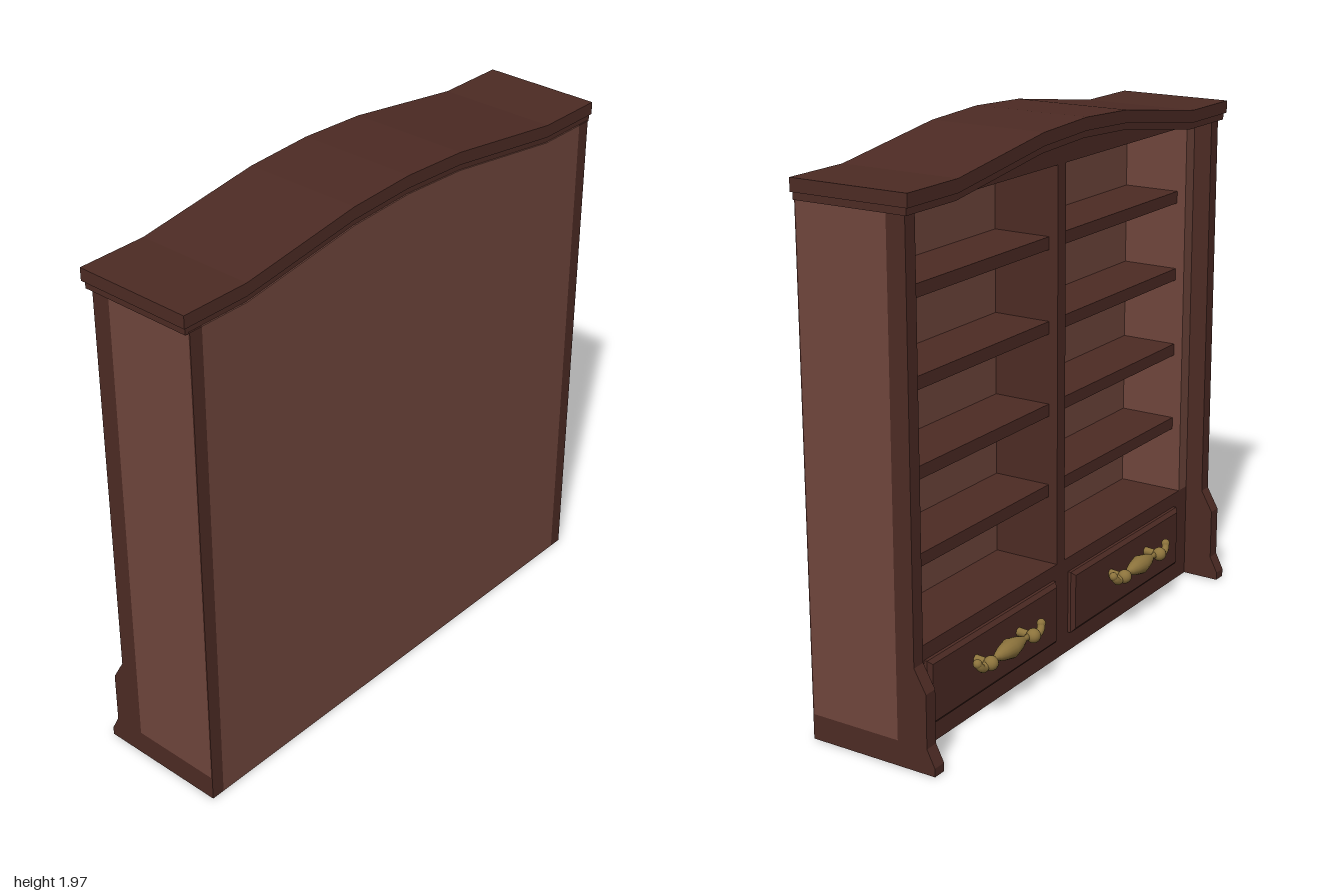
import * as THREE from 'three';

const panelWood = new THREE.MeshStandardMaterial({ color: 0x70463c });
const darkWood = new THREE.MeshStandardMaterial({ color: 0x4d2b24 });
const brass = new THREE.MeshStandardMaterial({ color: 0x8c733c });

// Upper edge of the arched top, as [z, height above the flat ends]
const ARCH = [[0.74, 0], [0.5, 0.034], [0.26, 0.068], [0, 0.08], [-0.26, 0.068], [-0.5, 0.034], [-0.74, 0]];

export function createModel() {
  const model = new THREE.Group();

  function add(name, geometry, material, parent = model) {
    const mesh = new THREE.Mesh(geometry, material);
    mesh.name = name;
    parent.add(mesh);
    return mesh;
  }

  // Box given by its limits on each axis
  function box(name, x0, x1, y0, y1, z0, z1, material) {
    const mesh = add(name, new THREE.BoxGeometry(x1 - x0, y1 - y0, z1 - z0), material);
    mesh.position.set((x0 + x1) / 2, (y0 + y1) / 2, (z0 + z1) / 2);
    return mesh;
  }

  // Board with an arched top; the lower edge is flat or follows the arch
  function archBoard(name, x0, x1, half, bottom, top, curvedBottom, material) {
    const upper = [[half, 0], ...ARCH, [-half, 0]];
    const points = upper.map(([z, h]) => new THREE.Vector2(z, top + h));
    const lower = curvedBottom ? upper.slice().reverse() : [[-half, 0], [half, 0]];
    for (const [z, h] of lower) points.push(new THREE.Vector2(z, bottom + h));
    const geometry = new THREE.ExtrudeGeometry(new THREE.Shape(points), { depth: x1 - x0, bevelEnabled: false });
    geometry.rotateY(-Math.PI / 2);
    geometry.translate(x1, 0, 0);
    return add(name, geometry, material);
  }

  // Back, top rail and stepped cornice
  archBoard('backPanel', 0.15, 0.24, 0.93, 0, 1.82, false, panelWood);
  archBoard('topRail', -0.105, -0.06, 0.93, 1.8, 1.82, false, darkWood);
  archBoard('corniceMoulding', -0.19, 0.235, 0.993, 1.815, 1.842, true, darkWood);
  archBoard('corniceTop', -0.2, 0.24, 1, 1.84, 1.885, true, darkWood);

  // Front stile that widens into a foot
  const stileShape = new THREE.Shape([
    [-0.105, 0], [-0.105, 1.82], [-0.175, 1.82], [-0.175, 0.36],
    [-0.22, 0.28], [-0.22, 0.09], [-0.25, 0.03], [-0.25, 0],
  ].map(([x, y]) => new THREE.Vector2(x, y)));

  for (const side of [1, -1]) {
    const span = (a, b) => (side > 0 ? [a, b] : [-b, -a]);
    const [z0, z1] = span(0.93, 0.98);
    const stile = add('frontStile', new THREE.ExtrudeGeometry(stileShape, { depth: 0.05, bevelEnabled: false }), darkWood);
    stile.position.z = z0;
    box('sidePanel', -0.105, 0.235, 0.09, 1.82, z0, z1, panelWood);
    box('rearEdge', 0.235, 0.24, 0.09, 1.82, z0, z1, darkWood);
    box('sidePlinth', -0.105, 0.24, 0, 0.09, z0, z1, darkWood);
    box('innerWall', -0.105, 0.15, 0.365, 1.82, ...span(0.87, 0.93), panelWood);

    // Four shelves in each bay
    for (let i = 0; i < 4; i++) {
      const top = 0.66 + i * 0.297;
      box('shelf', -0.07, 0.15, top - 0.045, top, ...span(0.025, 0.87), darkWood);
    }
    addDrawer(side * 0.44);
  }
  box('centreDivider', -0.105, 0.15, 0.365, 1.88, -0.025, 0.025, darkWood);
  box('drawerCase', -0.105, 0.15, 0, 0.365, -0.93, 0.93, darkWood);

  // Drawer front with a bevelled edge and a turned brass pull
  function addDrawer(z) {
    const drawer = new THREE.Group();
    drawer.name = 'drawer';
    drawer.position.set(-0.105, 0.193, z);
    model.add(drawer);

    const w = 0.375, h = 0.103;
    const face = new THREE.Shape([[-w, -h], [w, -h], [w, h], [-w, h]].map(([a, b]) => new THREE.Vector2(a, b)));
    const front = new THREE.ExtrudeGeometry(face, { depth: 0.012, bevelSize: 0.015, bevelThickness: 0.012, bevelSegments: 1 });
    front.rotateY(-Math.PI / 2);
    add('drawerFront', front, darkWood, drawer);

    const pull = new THREE.Group();
    pull.name = 'drawerPull';
    pull.position.set(-0.075, 0.027, 0);
    drawer.add(pull);

    // Spindle turned about the z axis
    const profile = [[0, -0.12], [0.012, -0.11], [0.009, -0.09], [0.016, -0.075], [0.025, -0.05], [0.036, 0],
      [0.025, 0.05], [0.016, 0.075], [0.009, 0.09], [0.012, 0.11], [0, 0.12]];
    const spindle = new THREE.LatheGeometry(profile.map(([r, y]) => new THREE.Vector2(r, y)), 16);
    spindle.rotateX(Math.PI / 2);
    add('pullSpindle', spindle, brass, pull);

    for (const s of [1, -1]) {
      const bead = add('pullBead', new THREE.SphereGeometry(0.026, 16, 12), brass, pull);
      bead.position.set(-0.01, 0, s * 0.13);
      const post = add('pullPost', new THREE.CylinderGeometry(0.012, 0.016, 0.06, 12), brass, pull);
      post.rotation.z = Math.PI / 2;
      post.position.set(0.025, 0, s * 0.13);

      // Curled leaf at each end
      const curve = new THREE.CatmullRomCurve3([
        new THREE.Vector3(0, 0, s * 0.14), new THREE.Vector3(-0.005, -0.008, s * 0.165),
        new THREE.Vector3(-0.005, 0.004, s * 0.185), new THREE.Vector3(0, 0.02, s * 0.195),
      ]);
      add('pullLeaf', new THREE.TubeGeometry(curve, 12, 0.014, 10), brass, pull);
      const tip = add('pullLeafTip', new THREE.SphereGeometry(0.016, 12, 8), brass, pull);
      tip.position.set(0, 0.02, s * 0.195);
    }
  }

  return model;
}
